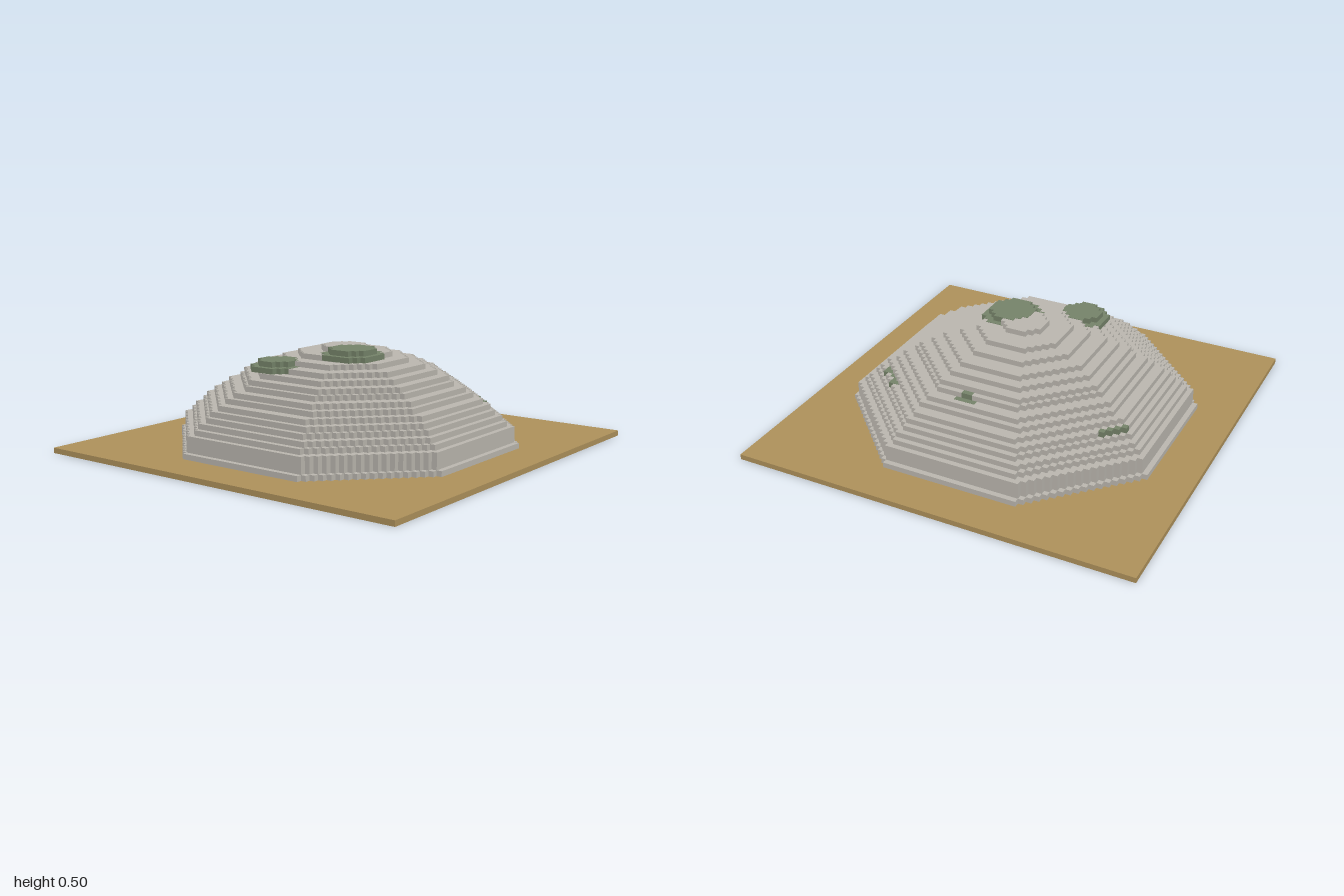
import * as THREE from 'three';
import { mergeGeometries } from 'three/addons/utils/BufferGeometryUtils.js';

const CELL = 2 / 76; // edge of one block

const sand = new THREE.MeshStandardMaterial({ color: 0xb0935c });
sand.name = 'sand';
const stone = new THREE.MeshStandardMaterial({ color: 0xbdb9b1 });
stone.name = 'stone';
const moss = new THREE.MeshStandardMaterial({ color: 0x77856b });
moss.name = 'moss';

// One-block-high octagon with stair-stepped diagonals, r in blocks
function octagonLayer(r, layer) {
  const flat = Math.floor(r * Math.SQRT2) - r + 1;
  const points = [];
  for (let turn = 0; turn < 4; turn++) {
    const add = (x, y) => {
      for (let i = 0; i < turn; i++) [x, y] = [-y, x];
      points.push(new THREE.Vector2(x * CELL, y * CELL));
    };
    for (let k = 0; k <= r - flat; k++) {
      add(r - k, flat + k);
      if (k < r - flat) add(r - k - 1, flat + k);
    }
  }
  const geometry = new THREE.ExtrudeGeometry(new THREE.Shape(points), {
    depth: CELL, bevelEnabled: false,
  });
  return geometry.rotateX(-Math.PI / 2).translate(0, layer * CELL, 0);
}

function addMesh(group, name, geometry, material) {
  const mesh = new THREE.Mesh(geometry, material);
  mesh.name = name;
  group.add(mesh);
  return mesh;
}

// Raised clump: stacked octagons [radius, layer], a hair proud of the stone
function addClump(group, name, x, z, layers) {
  const parts = layers.map(([r, layer]) =>
    octagonLayer(r, layer).scale(1.01, 1, 1.01).translate(0, 0.002, 0));
  const mesh = addMesh(group, name, mergeGeometries(parts), moss);
  mesh.position.set(x * CELL, 0, z * CELL);
}

// Stained blocks [x, layer, z] given by their centres in blocks
function addBlocks(group, name, cells) {
  const size = CELL * 1.06;
  const parts = cells.map(([x, layer, z]) =>
    new THREE.BoxGeometry(size, size, size)
      .translate(x * CELL, (layer + 0.5) * CELL, z * CELL));
  addMesh(group, name, mergeGeometries(parts), moss);
}

export function createModel() {
  const group = new THREE.Group();
  group.name = 'steppedDome';

  // Square ground slab
  addMesh(group, 'groundSlab',
    new THREE.BoxGeometry(2, CELL, 2).translate(0, CELL / 2, 0), sand);

  // Dome layers from bottom to top
  const radii = [30, 29, 29, 29, 28, 27, 26, 25, 24, 22, 21, 19, 18, 16, 14, 11, 8, 4];
  addMesh(group, 'dome',
    mergeGeometries(radii.map((r, i) => octagonLayer(r, i + 1))), stone);

  // Moss clumps near the summit
  addClump(group, 'summitMoss', 4, 3, [[5, 17], [4, 18]]);
  addClump(group, 'frontMoss', -6.5, 11.5, [[4.5, 15], [3.5, 16]]);

  // Small moss stains on the rear slopes
  addBlocks(group, 'rearRightMoss',
    [0, 1, 2, 3].map((i) => [-(21.5 + i), 8, -(13.5 - i)]));
  addBlocks(group, 'rearLeftMoss', [
    ...[0, 1, 2, 3, 4].map((i) => [18.5 + i, 8, -(15.5 - i)]),
    [19.5, 8, -15.5], [22.5, 8, -12.5],
  ]);
  addBlocks(group, 'rearMoss', [
    ...[0, 1, 2, 3].map((i) => [i + 0.5, 11, -19.5]),
    [1.5, 12, -18.5], [2.5, 12, -18.5],
  ]);

  return group;
}
